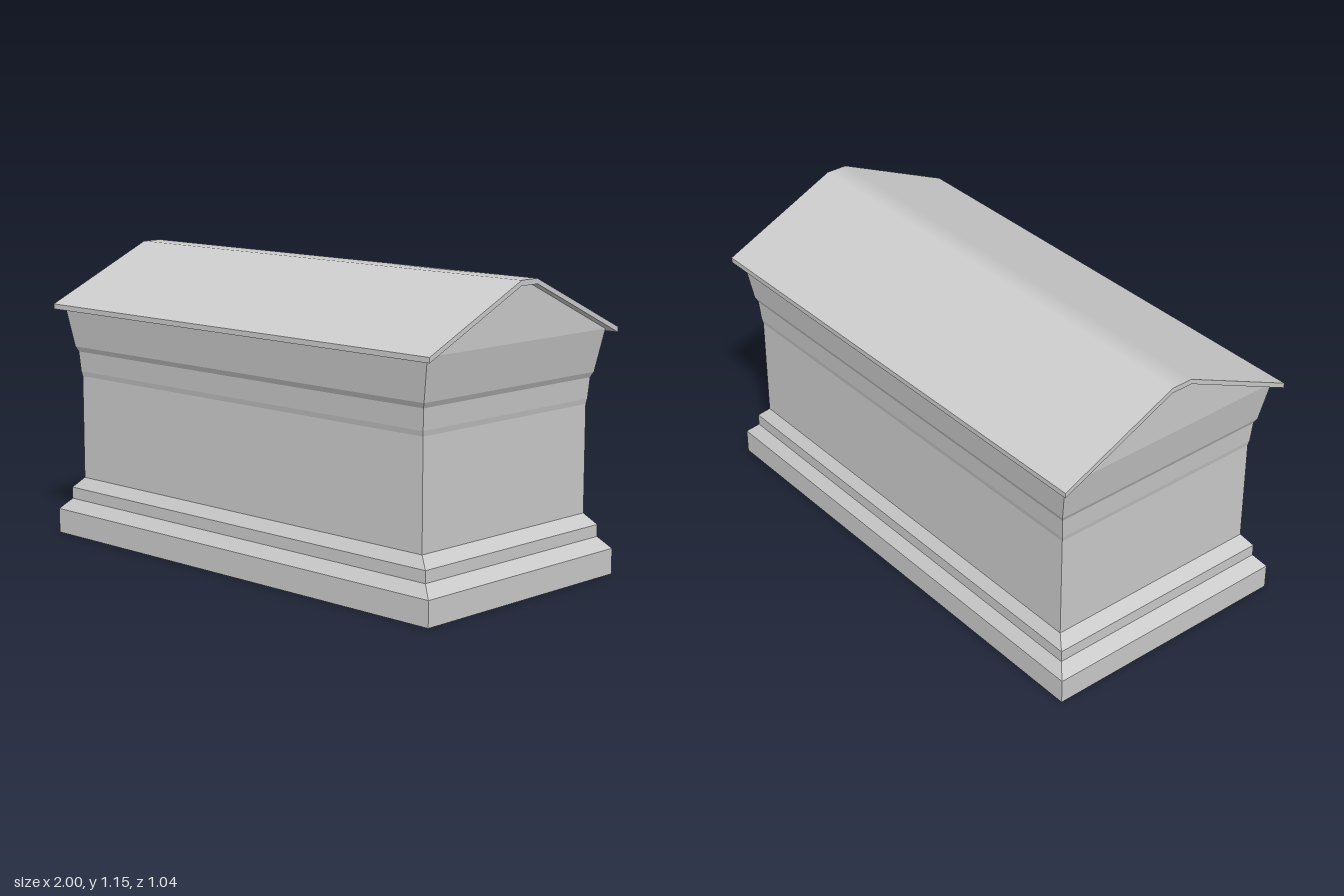
import * as THREE from 'three';

const material = new THREE.MeshStandardMaterial({ color: 0xcccccc, side: THREE.DoubleSide });

// Open shell through rectangular rings, each [y, half width, half depth], from the bottom up
function rectShell(name, rings) {
  const pos = [];
  const corner = ([y, w, d], k) => [[w, y, d], [w, y, -d], [-w, y, -d], [-w, y, d]][k % 4];
  for (let i = 0; i < rings.length - 1; i++) {
    for (let k = 0; k < 4; k++) {
      const a = corner(rings[i], k), b = corner(rings[i], k + 1);
      const c = corner(rings[i + 1], k + 1), d = corner(rings[i + 1], k);
      pos.push(...a, ...b, ...c, ...a, ...c, ...d);
    }
  }
  const geo = new THREE.BufferGeometry();
  geo.setAttribute('position', new THREE.Float32BufferAttribute(pos, 3));
  geo.computeVertexNormals();
  const mesh = new THREE.Mesh(geo, material);
  mesh.name = name;
  return mesh;
}

const polygon = (points) => new THREE.Shape(points.map(([x, y]) => new THREE.Vector2(x, y)));

export function createModel() {
  const group = new THREE.Group();
  group.name = 'gabledChest';

  // Stepped plinth, hollow and open underneath
  group.add(rectShell('base', [
    [0, 1, 0.514], [0.098, 1, 0.514], [0.142, 0.955, 0.48],
    [0.188, 0.955, 0.48], [0.23, 0.912, 0.45],
  ]));

  // Straight walls
  group.add(rectShell('walls', [[0.23, 0.912, 0.45], [0.643, 0.912, 0.45]]));

  // Flaring mouldings up to the eaves
  group.add(rectShell('cornice', [
    [0.643, 0.912, 0.45], [0.663, 0.916, 0.454], [0.743, 0.922, 0.46],
    [0.763, 0.932, 0.469], [0.925, 0.964, 0.49],
  ]));

  // Upright gable at each end
  const gableShape = polygon([[-0.49, 0.925], [0.49, 0.925], [0.045, 1.13], [-0.045, 1.13]]);
  for (const side of [1, -1]) {
    const gable = new THREE.Mesh(new THREE.ShapeGeometry(gableShape), material);
    gable.name = side > 0 ? 'leftGable' : 'rightGable';
    gable.rotation.y = side * Math.PI / 2;
    gable.position.x = side * 0.964;
    group.add(gable);
  }

  // Thin folded roof with overhanging eaves
  const roofShape = polygon([
    [-0.519, 0.912], [-0.045, 1.13], [0.045, 1.13], [0.519, 0.912],
    [0.519, 0.932], [0.043, 1.15], [-0.043, 1.15], [-0.519, 0.932],
  ]);
  const roofGeo = new THREE.ExtrudeGeometry(roofShape, { depth: 2, bevelEnabled: false });
  roofGeo.translate(0, 0, -1).rotateY(Math.PI / 2);

  // Round the shading of the narrow ridge into both slopes
  const p = roofGeo.attributes.position, n = roofGeo.attributes.normal;
  const slope = new THREE.Vector2(0.218, 0.476).normalize();
  for (let i = 0; i < p.count; i++) {
    if (n.getY(i) > 0.99) n.setXYZ(i, 0, slope.y, Math.sign(p.getZ(i)) * slope.x);
  }
  const roof = new THREE.Mesh(roofGeo, material);
  roof.name = 'roof';
  group.add(roof);

  return group;
}
